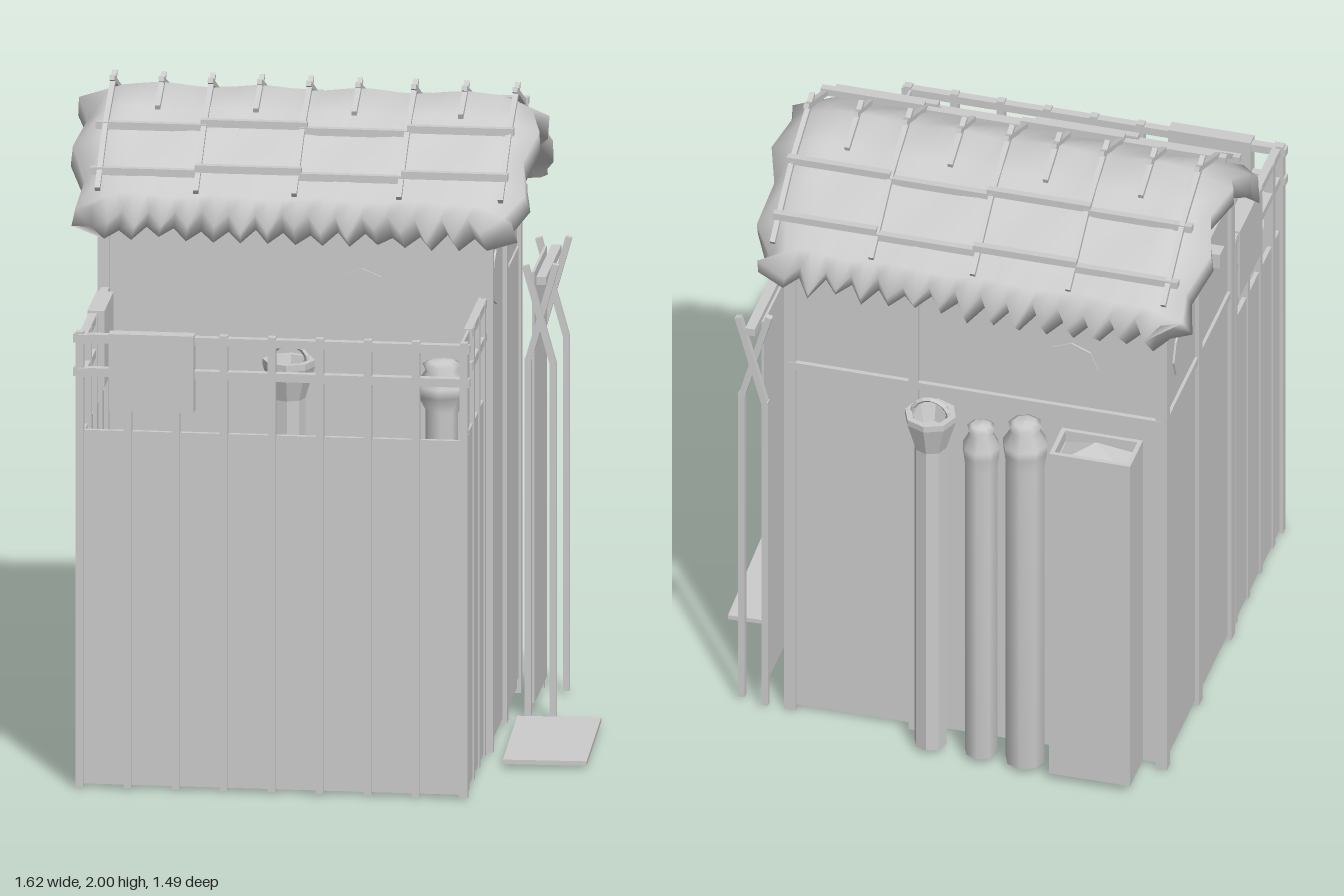
import * as THREE from 'three';

const mat = new THREE.MeshStandardMaterial({ color: 0xcccccc, flatShading: true, side: THREE.DoubleSide });
const smooth = new THREE.MeshStandardMaterial({ color: 0xcccccc, side: THREE.DoubleSide });

export function createModel() {
  const root = new THREE.Group();
  const add = (name, geo, m = mat) => {
    const mesh = new THREE.Mesh(geo, m);
    mesh.name = name;
    root.add(mesh);
    return mesh;
  };
  // axis-aligned box given by its limits
  const block = (name, x0, x1, y0, y1, z0, z1) => {
    const b = add(name, new THREE.BoxGeometry(x1 - x0, y1 - y0, z1 - z0));
    b.position.set((x0 + x1) / 2, (y0 + y1) / 2, (z0 + z1) / 2);
    return b;
  };
  // square pole between two points
  const pole = (name, a, b, w = 0.022) => {
    const p = new THREE.Vector3(...a), q = new THREE.Vector3(...b);
    const m = add(name, new THREE.BoxGeometry(w, w, p.distanceTo(q)));
    m.position.copy(p).lerp(q, 0.5);
    m.lookAt(q);
  };
  let seed = 7;
  const rnd = () => (seed = (seed * 16807) % 2147483647) / 2147483647;

  // hut walls and recessed gable
  const Z = -0.215;
  block('hutWalls', -0.69, 0.49, 0.015, 1.62, -0.58, 0.15);
  const tri = new THREE.Shape([[-0.365, 1.6], [0.365, 1.6], [0.36, 1.68], [0.2, 1.81], [0, 1.91], [-0.2, 1.81], [-0.36, 1.68]]
    .map(p => new THREE.Vector2(...p)));
  const gable = add('gable', new THREE.ExtrudeGeometry(tri, { depth: 1.04, bevelEnabled: false }));
  gable.rotation.y = Math.PI / 2;
  gable.position.set(-0.62, 0, Z);

  // hut frame
  for (const x of [-0.685, 0.485]) {
    for (const z of [-0.575, 0.145]) block('cornerPost', x - 0.018, x + 0.018, 0, 1.63, z - 0.018, z + 0.018);
    block('sidePost', x - 0.018, x + 0.018, 0, 1.64, Z - 0.02, Z + 0.02);
    block('topBeam', x - 0.015, x + 0.015, 1.6, 1.63, -0.59, 0.16);
  }
  for (const z of [-0.58, 0.15]) block('topBeam', -0.71, 0.51, 1.6, 1.63, z - 0.012, z + 0.012);
  block('tieBeam', -0.77, 0.56, 1.63, 1.68, Z - 0.025, Z + 0.025);
  block('backPost', 0.08, 0.11, 0, 1.6, -0.595, -0.57);
  block('backRail', -0.69, 0.49, 1.26, 1.285, -0.595, -0.57);
  block('leftRail', -0.7, -0.68, 1.26, 1.285, -0.58, 0.15);
  block('frontDoor', -0.66, -0.28, 0.03, 1.6, 0.145, 0.156);
  block('sideDoor', 0.485, 0.496, 0.05, 1.4, -0.56, -0.25);

  // thin octagonal shields on the walls
  for (const [x, y, z, r] of [[0.1, 1.42, 0.151, 0], [-0.4, 1.43, -0.581, 0], [-0.691, 1.43, -0.4, 1], [0.491, 1.45, 0, 1]]) {
    const s = add('shield', new THREE.CylinderGeometry(0.085, 0.085, 0.01, 8).rotateX(Math.PI / 2));
    s.rotation.y = r * Math.PI / 2;
    s.position.set(x, y, z);
  }

  // terrace: low floor inside tall thin walls, posts and rails
  block('terraceFloor', -0.68, 0.475, 0.012, 0.028, 0.14, 0.705);
  block('frontParapet', -0.69, 0.485, 0.012, 1.12, 0.7, 0.715);
  for (const x of [-0.683, 0.475]) block('sideParapet', x - 0.007, x + 0.007, 0.012, 1.12, 0.15, 0.71);
  for (let i = 0; i < 9; i++) {
    const x = -0.69 + i * 0.1465;
    block('frontPost', x - 0.012, x + 0.012, 0.005, 1.43, 0.705, 0.73);
  }
  for (const [x, end] of [[-0.68, 0.74], [0.472, 0.53]]) {
    for (const z of [0.63, 0.49, 0.35, 0.21]) {
      const top = z < end ? 1.42 : 1.12;
      block('sidePost', x - 0.015, x + 0.015, 0.005, top, z - 0.012, z + 0.012);
    }
    for (const y of [1.305, 1.41]) pole('sideRail', [x, y, 0.15], [x, y, end], 0.026);
  }
  for (const y of [1.305, 1.41]) pole('frontRail', [-0.71, y, 0.718], [0.5, y, 0.718], 0.026);
  block('rightPanel', 0.468, 0.476, 1.1, 1.42, 0.53, 0.705);
  block('frontBoard', -0.6, -0.34, 1.19, 1.43, 0.7, 0.745);
  block('leftBoard', -0.697, -0.645, 1.19, 1.43, 0.24, 0.475);

  // thatch: closed cross-section swept along x, blunt hanging eaves with spikes and ragged ends
  const half = [[0, 1.965], [0.11, 1.92], [0.22, 1.86], [0.33, 1.785], [0.41, 1.725], [0.45, 1.675]];
  const outer = [...half.slice(1).reverse().map(([d, y]) => [-d, y]), ...half];
  const inner = outer.map(([d, y]) => [d * 0.9, y - 0.065]).reverse();
  const ring = [...outer, ...inner], M = ring.length, N = 30, pos = [], idx = [];
  const endRag = ring.map((_, j) => {
    const k = j < 11 ? j : 21 - j;
    return [(k % 2) * 0.04 + rnd() * 0.015, ((k + 1) % 2) * 0.04 + rnd() * 0.015];
  });
  for (let i = 0; i <= N; i++) {
    const u = i / N, end = Math.min(i, N - i);
    const jag = [0, 1].map(() => (i % 2 ? 0.045 + rnd() * 0.045 : -0.01 - rnd() * 0.015));
    const sag = end === 0 ? 0.045 : end === 1 ? 0.012 : 0;
    ring.forEach(([d, y], j) => {
      const inset = 0.055 * (Math.abs(d) / 0.45) ** 4;
      let x = -0.755 + inset + (1.325 - 2 * inset) * u;
      if (i === 0) x -= endRag[j][0];
      if (i === N) x += endRag[j][1];
      const outerTip = j === 0 || j === 10, innerTip = j === 11 || j === M - 1;
      const g = outerTip || innerTip ? jag[d > 0 ? 1 : 0] : 0;
      const drop = outerTip ? g * 0.5 : innerTip ? g * 0.3 : sag;
      const wave = 0.006 * Math.sin(i * 0.9 + j * 2);
      pos.push(x, y - drop + wave, Z + d + Math.sign(d) * g * 0.55);
    });
  }
  for (let i = 0; i < N; i++) for (let j = 0; j < M; j++) {
    const a = i * M + j, b = i * M + (j + 1) % M;
    idx.push(a, b, a + M, b, b + M, a + M);
  }
  for (let j = 0; j < 10; j++) {
    const a = j, b = j + 1, c = M - 2 - j, d = M - 1 - j, e = N * M;
    idx.push(a, d, c, a, c, b, e + a, e + c, e + d, e + a, e + b, e + c);
  }
  const tg = new THREE.BufferGeometry();
  tg.setAttribute('position', new THREE.Float32BufferAttribute(pos, 3));
  tg.setIndex(idx);
  tg.computeVertexNormals();
  add('thatchRoof', tg, smooth);

  // roof lattice
  const roofY = d => {
    const k = Math.max(1, half.findIndex(p => p[0] >= d));
    const [a, b] = [half[k - 1], half[k]];
    return a[1] + (b[1] - a[1]) * (d - a[0]) / (b[0] - a[0]);
  };
  for (const s of [-1, 1]) {
    for (const d of [0.19, 0.345]) {
      [-0.73, -0.41, -0.1, 0.22].forEach((x, k) => {
        const y = roofY(d) + 0.006 + (k % 2) * 0.016;
        pole('roofBatten', [x, y, Z + s * d], [x + 0.325, y, Z + s * d], 0.023);
      });
    }
    for (const x of [-0.7, -0.4, -0.1, 0.22, 0.53]) {
      pole('roofRafter', [x, 1.99, Z - s * 0.035], [x, roofY(0.2) + 0.016, Z + s * 0.2], 0.016);
      pole('roofRafter', [x, roofY(0.2) + 0.016, Z + s * 0.2], [x, roofY(0.41) + 0.012, Z + s * 0.41], 0.016);
    }
    for (const x of [-0.55, -0.25, 0.05, 0.375])
      pole('ridgeStick', [x, 1.99, Z - s * 0.035], [x, roofY(0.13) + 0.016, Z + s * 0.13], 0.016);
  }

  // crossed poles with a hanging hide beside the door
  for (const z of [-0.25, -0.585]) for (const s of [-1, 1]) {
    pole('doorPole', [0.6 + s * 0.04, 0.01, z + s * 0.012], [0.6 + s * 0.04, 1.13, z + s * 0.012], 0.02);
    pole('doorPole', [0.6 + s * 0.04, 1.12, z + s * 0.012], [0.6 - s * 0.045, 1.425, z + s * 0.012], 0.02);
  }
  block('doorCrossbar', 0.59, 0.62, 1.37, 1.395, -0.61, -0.22);
  block('hangingHide', 0.572, 0.58, 0.05, 1.4, -0.57, -0.255);
  const plank = block('groundPlank', 0.545, 0.8, 0.012, 0.026, -0.195, 0.33);
  plank.rotation.y = 0.035;

  // stretched jars and baskets; lathe profiles of [radius, y]
  const pot = (name, profile, x, z, n, m = smooth) => {
    const p = add(name, new THREE.LatheGeometry(profile.map(q => new THREE.Vector2(...q)), n), m);
    p.position.set(x, 0, z);
  };
  const jar = (r, foot, top) => [[0, 0.02], [r * foot, 0.02], [r * foot, top - 0.15], [r * 0.98, top - 0.1], [r, top - 0.07],
    [r * 0.62, top - 0.025], [r * 0.75, top - 0.005], [r * 0.5, top + 0.003], [0, top + 0.008]];
  const funnel = top => [[0, 0.02], [0.05, 0.02], [0.05, top - 0.12], [0.08, top - 0.02], [0.08, top],
    [0.06, top], [0.045, top - 0.06], [0, top - 0.06]];
  pot('terraceJar', jar(0.08, 0.62, 1.27), 0.37, 0.35, 8);
  pot('terraceJar', jar(0.065, 0.62, 1.22), 0.36, 0.215, 8);
  pot('backJar', jar(0.058, 0.88, 1.22), -0.14, -0.67, 8);
  pot('backJar', jar(0.07, 0.88, 1.26), -0.28, -0.675, 8);
  for (const [x, z] of [[-0.11, 0.24], [0.02, -0.668]]) {
    pot('basket', funnel(1.235), x, z, 8, mat);
    const h = add('basketHandle', new THREE.TorusGeometry(0.058, 0.008, 4, 8, Math.PI));
    h.position.set(x, 1.225, z);
  }

  // crates with heaped contents
  const crate = (x0, x1, y0, y1, z0, z1) => {
    const t = 0.014;
    block('crate', x0, x1, y0, y1 - 0.04, z0, z1);
    for (const [a, b] of [[z0, z0 + t], [z1 - t, z1]]) block('crateRim', x0, x1, y1 - 0.04, y1, a, b);
    for (const [a, b] of [[x0, x0 + t], [x1 - t, x1]]) block('crateRim', a, b, y1 - 0.04, y1, z0, z1);
    const heap = add('crateHeap', new THREE.ConeGeometry(Math.SQRT1_2, 1, 4).rotateY(Math.PI / 4));
    heap.scale.set(x1 - x0 - 2 * t, 0.06, z1 - z0 - 2 * t);
    heap.position.set((x0 + x1) / 2, y1 - 0.012, (z0 + z1) / 2);
  };
  crate(-0.63, -0.375, 0.03, 1.21, -0.745, -0.6);
  crate(-0.605, -0.35, 0.02, 1.04, 0.485, 0.66);
  crate(-0.335, -0.08, 0.02, 1.04, 0.485, 0.66);
  return root;
}
